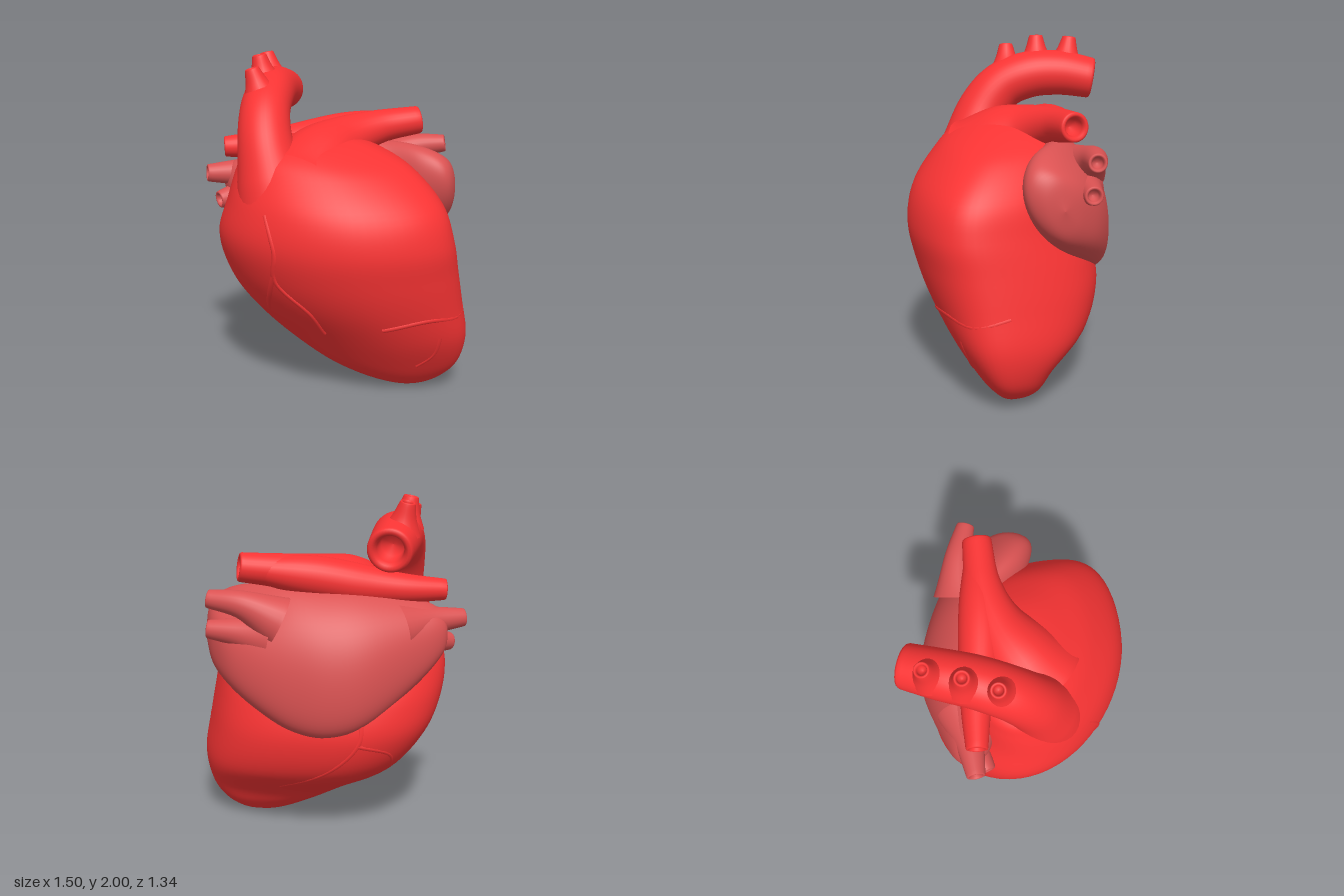
import * as THREE from 'three';

const RED = new THREE.MeshStandardMaterial({ color: 0xfa3434 });
const PINK = new THREE.MeshStandardMaterial({ color: 0xda5252 });
const V = (x, y, z) => new THREE.Vector3(x, y, z);

// Skin a list of rings (equal point counts) into one smooth closed-around surface
function skin(rings) {
  const n = rings[0].length, index = [];
  for (let i = 0; i < rings.length - 1; i++) {
    for (let j = 0; j < n; j++) {
      const a = i * n + j, b = i * n + (j + 1) % n;
      index.push(a, a + n, b, b, a + n, b + n);
    }
  }
  const g = new THREE.BufferGeometry().setFromPoints(rings.flat());
  g.setIndex(index);
  g.computeVertexNormals();
  return g;
}

function add(parent, name, geometry, material) {
  const m = new THREE.Mesh(geometry, material);
  m.name = name;
  parent.add(m);
}

// Smoothly interpolate rows of section data: u runs over the row index
function sampler(rows) {
  const interp = new THREE.CubicInterpolant(rows.map((_, i) => i), rows.flat(), rows[0].length);
  return u => Array.from(interp.evaluate(u));
}

// Swell a unit circle coordinate so the section becomes squarer
const swell = (c, k) => c + k * c * Math.abs(c) * (1 - Math.abs(c));

// Rings of skewed ellipses, each given by its extents along two axes
function loft(rows, pointAt, steps = 6, sides = 64) {
  const rings = [], count = (rows.length - 1) * steps;
  for (let i = 0; i <= count; i++) {
    rings.push(Array.from({ length: sides }, (_, j) => pointAt(i / steps, j / sides * Math.PI * 2)));
  }
  return skin(rings);
}

// Vessel along a curve with radii spread over its length and hollow mouths
function vessel(points, radii, openStart = false, sides = 28, steps = 36) {
  const curve = new THREE.CatmullRomCurve3(points);
  const frames = curve.computeFrenetFrames(steps, false);
  const ring = (i, r, push = 0) => {
    const c = curve.getPointAt(i / steps).addScaledVector(frames.tangents[i], push);
    return Array.from({ length: sides }, (_, j) => {
      const t = j / sides * Math.PI * 2;
      return c.clone().addScaledVector(frames.normals[i], r * Math.cos(t))
        .addScaledVector(frames.binormals[i], -r * Math.sin(t));
    });
  };
  const radius = sampler(radii.map(r => [r]));
  const rings = [];
  for (let i = 0; i <= steps; i++) rings.push(ring(i, radius(i / steps * (radii.length - 1))[0]));
  // rounded lip, then a recess closed at its floor
  const mouth = (i, r, s) => [[0.95, 0.1], [0.83, 0.14], [0.7, 0.08], [0.6, -0.15], [0.52, -0.8], [0, -0.9]]
    .map(([k, p]) => ring(i, r * k, s * r * p));
  rings.push(...mouth(steps, radii[radii.length - 1], 1));
  if (openStart) rings.unshift(...mouth(0, radii[0], -1).reverse());
  return skin(rings);
}

export function createModel() {
  const heart = new THREE.Group();
  heart.name = 'heart';

  // Ventricles: y, xMin, xMax, zMin, zMax, skew; the left side is fuller
  const body = [
    [0, 0.40, 0.40, 0.16, 0.16, 0.3],
    [0.02, 0.25, 0.52, 0.05, 0.26, 0.3],
    [0.09, 0.06, 0.63, -0.04, 0.34, 0.35],
    [0.2, -0.14, 0.70, -0.16, 0.42, 0.4],
    [0.38, -0.38, 0.73, -0.42, 0.52, 0.38],
    [0.6, -0.57, 0.695, -0.525, 0.60, 0.3],
    [0.8, -0.67, 0.655, -0.51, 0.65, 0.27],
    [1.0, -0.71, 0.61, -0.43, 0.675, 0.28],
    [1.2, -0.66, 0.55, -0.35, 0.62, 0.25],
    [1.38, -0.60, 0.41, -0.31, 0.46, 0.2],
    [1.48, -0.54, 0.25, -0.28, 0.31, 0.1],
    [1.54, -0.38, 0.08, -0.18, 0.16, 0],
    [1.555, -0.14, -0.14, -0.01, -0.01, 0],
  ];
  const bodyRow = sampler(body);
  const bodyPoint = (u, t) => {
    const [y, x0, x1, z0, z1, skew] = bodyRow(u);
    const c = Math.cos(t);
    return V((x0 + x1) / 2 + (x1 - x0) / 2 * swell(c, c > 0 ? 0.65 : 0), y,
      (z0 + z1) / 2 + (z1 - z0) / 2 * Math.sin(t + skew));
  };
  add(heart, 'ventricles', loft(body, bodyPoint), RED);

  // Faint surface vessels, nearly sunk into the wall: [row, angle] pairs
  const ridges = [
    [[8, 2.4], [7, 2.25], [6, 2.3], [5, 2.1], [4.3, 2.1]],
    [[6.2, 2.3], [5.4, 2.45], [4.8, 2.6]],
    [[4.6, 1.5], [4.8, 1.1], [4.7, 0.7], [4.9, 0.2]],
    [[4.2, 1.0], [3.5, 1.1], [3, 1.3]],
    [[6, 4.6], [5, 4.5], [4.2, 4.6], [3.4, 4.9]],
    [[5, 4.5], [4.7, 4.1], [4.2, 3.8]],
  ];
  ridges.forEach(path => {
    const curve = new THREE.CatmullRomCurve3(path.map(([u, t]) => V(u, t, 0)));
    const pts = curve.getPoints(16).map(p => bodyPoint(p.x, p.y).lerp(V(0, 0.8, 0.08), 0.03));
    add(heart, 'surfaceVessel', new THREE.TubeGeometry(new THREE.CatmullRomCurve3(pts), 40, 0.022, 10), RED);
  });

  // Atrium across the back, with a lobe on the left: x, yMin, yMax, zMin, zMax, skew
  const atrium = [
    [-0.64, 1.21, 1.21, -0.33, -0.33, 0.2],
    [-0.6, 1.08, 1.34, -0.42, -0.23, 0.2],
    [-0.42, 0.90, 1.41, -0.49, -0.15, 0.3],
    [-0.12, 0.70, 1.46, -0.57, -0.10, 0.4],
    [0.1, 0.64, 1.47, -0.56, -0.06, 0.42],
    [0.3, 0.68, 1.48, -0.49, 0.00, 0.45],
    [0.48, 0.79, 1.47, -0.39, 0.14, 0.48],
    [0.62, 0.91, 1.42, -0.27, 0.19, 0.45],
    [0.7, 1.02, 1.34, -0.13, 0.12, 0.3],
    [0.73, 1.18, 1.18, 0.00, 0.00, 0.2],
  ];
  const atriumRow = sampler(atrium);
  add(heart, 'atrium', loft(atrium, (u, t) => {
    const [x, y0, y1, z0, z1, skew] = atriumRow(u);
    const c = Math.cos(t);
    return V(x, (y0 + y1) / 2 + (y1 - y0) / 2 * Math.sin(t + skew),
      (z0 + z1) / 2 + (z1 - z0) / 2 * swell(c, c < 0 ? 0.4 : 0));
  }), PINK);

  // Aorta rising on the right and arching to the back
  add(heart, 'aorta', vessel(
    [V(-0.36, 1.1, 0.14), V(-0.41, 1.33, 0.1), V(-0.435, 1.54, 0.03), V(-0.415, 1.69, -0.09),
      V(-0.36, 1.76, -0.25), V(-0.295, 1.77, -0.43), V(-0.215, 1.74, -0.605)],
    [0.27, 0.215, 0.168, 0.15, 0.144, 0.138, 0.125], false, 40, 48), RED);

  // Three branches on top of the arch
  [
    [V(-0.43, 1.78, -0.13), V(-0.48, 1.935, -0.145)],
    [V(-0.38, 1.83, -0.31), V(-0.41, 1.99, -0.32)],
    [V(-0.31, 1.82, -0.48), V(-0.335, 1.98, -0.515)],
  ].forEach(([a, b]) => add(heart, 'archBranch',
    vessel([a, a.clone().lerp(b, 0.5), b], [0.11, 0.068, 0.043], false, 20, 12), RED));

  // Pulmonary trunk and the artery crossing behind the aorta
  add(heart, 'pulmonaryTrunk', vessel(
    [V(-0.2, 1.28, 0.1), V(-0.1, 1.4, 0.01), V(0.07, 1.5, -0.09), V(0.28, 1.56, -0.14), V(0.535, 1.595, -0.14)],
    [0.3, 0.22, 0.14, 0.1, 0.084]), RED);
  add(heart, 'pulmonaryArtery', vessel(
    [V(-0.63, 1.45, -0.29), V(-0.4, 1.46, -0.265), V(-0.15, 1.485, -0.215), V(0.1, 1.53, -0.18), V(0.45, 1.58, -0.15)],
    [0.062, 0.09, 0.12, 0.115, 0.07], true), RED);

  // Pulmonary veins, two on each side, flaring into the atrium
  [
    [V(0.34, 1.3, -0.28), V(0.54, 1.4, -0.255), V(0.725, 1.43, -0.19)],
    [V(0.4, 1.2, -0.24), V(0.58, 1.235, -0.21), V(0.73, 1.25, -0.17)],
    [V(-0.36, 1.24, -0.34), V(-0.55, 1.275, -0.325), V(-0.74, 1.285, -0.315)],
    [V(-0.36, 1.16, -0.34), V(-0.54, 1.15, -0.3), V(-0.68, 1.13, -0.25)],
  ].forEach(p => add(heart, 'pulmonaryVein', vessel(p, [0.15, 0.085, 0.053], false, 24, 20), PINK));

  return heart;
}
